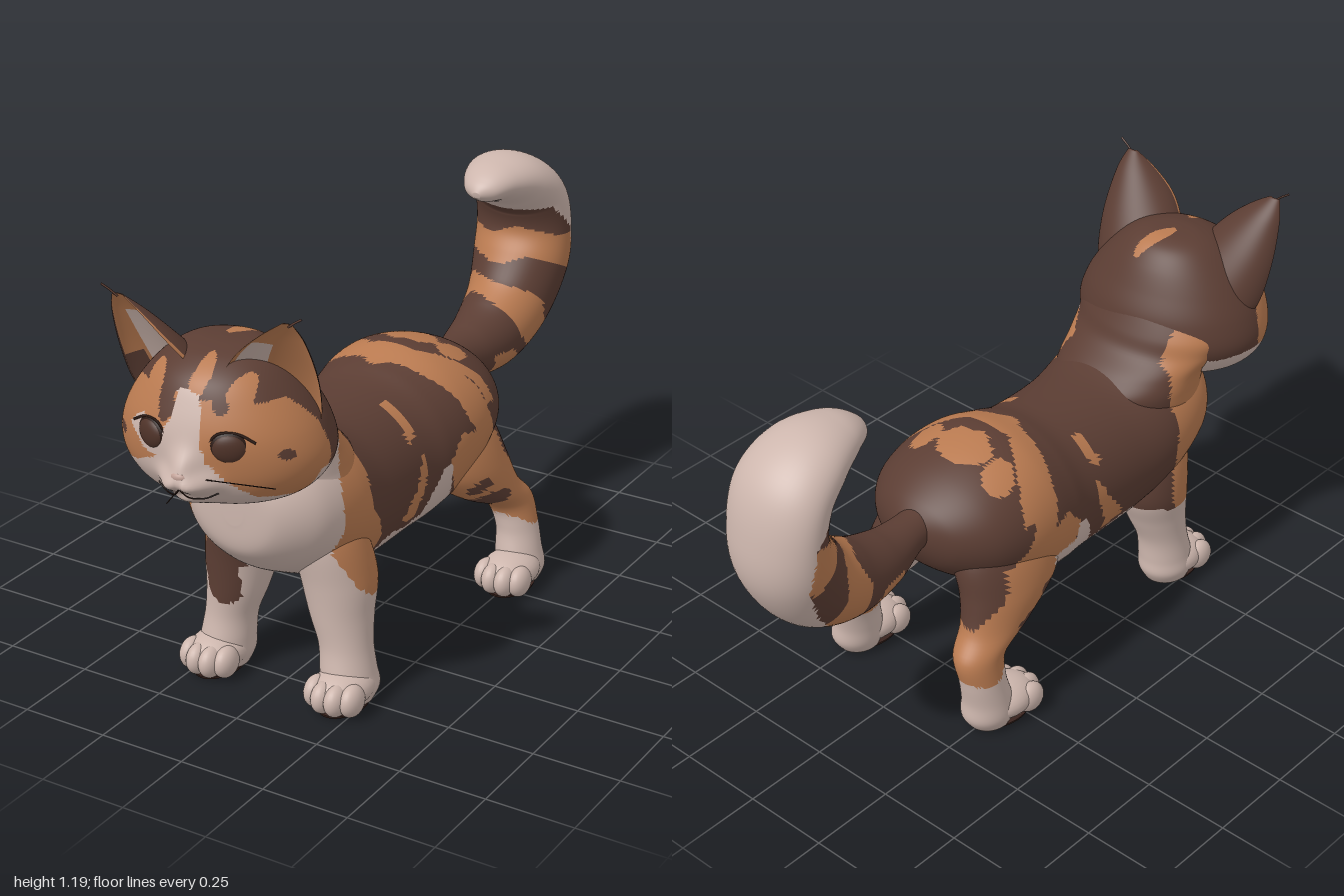
import * as THREE from 'three';

const mat = (name, color) => Object.assign(new THREE.MeshStandardMaterial({ color }), { name });
const V = (x, y, z) => new THREE.Vector3(x, y, z);

// Smooth interpolation through rows of numbers, t in 0..1
function spline(keys, t) {
  const f = Math.min(Math.max(t, 0), 1) * (keys.length - 1);
  const i = Math.min(Math.floor(f), keys.length - 2), u = f - i;
  const k = n => keys[Math.min(Math.max(n, 0), keys.length - 1)];
  return keys[i].map((b, c) => {
    const a = k(i - 1)[c], d = k(i + 1)[c], e = k(i + 2)[c];
    return 0.5 * (2 * b + (d - a) * u + (2 * a - 5 * b + 4 * d - e) * u * u + (3 * b - a - 3 * d + e) * u ** 3);
  });
}

// Skin a list of closed rings, cap both ends, and sort the faces into colours with paint(point, t, u)
function loft(name, rings, mats, paint) {
  const n = rings[0].length, m = rings.length, pts = rings.flat(), tris = [];
  for (let i = 0; i < m - 1; i++) for (let j = 0; j < n; j++) {
    const a = i * n + j, b = i * n + (j + 1) % n, t = i / (m - 1), u = j / n;
    tris.push([a, b, a + n, t, u], [b, b + n, a + n, t, u]);
  }
  [0, m - 1].forEach(i => {
    const c = rings[i].reduce((s, p) => s.add(p), V(0, 0, 0)).divideScalar(n);
    pts.push(c);
    for (let j = 0; j < n; j++) {
      const a = i * n + j, b = i * n + (j + 1) % n;
      tris.push(i ? [a, b, pts.length - 1, 1, j / n] : [b, a, pts.length - 1, 0, j / n]);
    }
  });
  // Turn all faces outwards
  const volume = tris.reduce((s, [a, b, c]) => s + pts[a].dot(V().crossVectors(pts[b], pts[c])), 0);
  const byColour = mats.map(() => []);
  for (const [a, b, c, t, u] of tris) {
    const mid = V(0, 0, 0).add(pts[a]).add(pts[b]).add(pts[c]).divideScalar(3);
    byColour[paint(mid, t, u)].push(...(volume < 0 ? [a, c, b] : [a, b, c]));
  }
  const g = new THREE.BufferGeometry().setFromPoints(pts);
  g.setIndex(byColour.flat());
  let start = 0;
  byColour.forEach((list, i) => { if (list.length) g.addGroup(start, list.length, i); start += list.length; });
  g.computeVertexNormals();
  const mesh = new THREE.Mesh(g, mats);
  mesh.name = name;
  return mesh;
}

// Rings from rows [x, y, z, halfWidth, halfDepth]; tilt sets the section plane, or it follows the path
function sections(keys, count, sides, tilt) {
  return Array.from({ length: count + 1 }, (_, i) => {
    const t = i / count, [x, y, z, a, b] = spline(keys, t);
    const p = spline(keys, t - 0.01), q = spline(keys, t + 0.01);
    const phi = tilt ?? Math.atan2(q[1] - p[1], p[2] - q[2]);
    return Array.from({ length: sides }, (_, j) => {
      const w = j / sides * Math.PI * 2, s = Math.sin(w) * b;
      return V(x + Math.cos(w) * a, y + s * Math.cos(phi), z + s * Math.sin(phi));
    });
  });
}
const FLAT = Math.PI / 2;

// Patch outlines are flat lists of pairs
function inside(poly, x, y) {
  let hit = false;
  for (let i = 0, j = poly.length - 2; i < poly.length; j = i, i += 2) {
    if ((poly[i + 1] > y) !== (poly[j + 1] > y) &&
      x < (poly[j] - poly[i]) * (y - poly[i + 1]) / (poly[j + 1] - poly[i + 1]) + poly[i]) hit = !hit;
  }
  return hit;
}
const spot = (x, y, cx, cy, rx, ry) => ((x - cx) / rx) ** 2 + ((y - cy) / ry) ** 2 < 1;

const CREAM = 0, ORANGE = 1, DARK = 2;

// Side patches as (z, y)
const chest = [0.8, 0.8, 0.5, 0.78, 0.53, 0.6, 0.55, 0.45, 0.52, 0.34, 0.45, 0.3, 0.34, 0.32, 0.3, 0.38, 0.1, 0.36, 0.04, 0.5, 0.01, 0.5, -0.03, 0.38, -0.12, 0.3, -0.25, 0.24, -0.34, 0.18, -0.5, 0.16, -0.5, -0.1, 0.8, -0.1];
const shoulder = [0.5, 0.78, 0.42, 0.75, 0.39, 0.62, 0.41, 0.52, 0.33, 0.42, 0.34, 0.3, 0.56, 0.3, 0.56, 0.6];
const flank = [0.11, 0.56, 0.14, 0.53, 0.22, 0.4, 0.15, 0.38, 0.12, 0.46];
const haunch = [0.02, 0.5, -0.05, 0.56, -0.11, 0.56, -0.07, 0.65, -0.01, 0.77, -0.1, 0.77, -0.17, 0.65, -0.21, 0.52, -0.28, 0.48, -0.3, 0.4, -0.38, 0.33, -0.5, 0.29, -0.5, 0.16, -0.34, 0.18, -0.2, 0.26, -0.08, 0.33];

function paintBody(p) {
  const x = p.x + 0.004 * Math.sin(p.y * 40), y = p.y + 0.005 * Math.sin(p.z * 45), z = p.z + 0.005 * Math.sin(p.y * 40);
  if (y < 0.18 || (y < 0.33 && Math.abs(x) < 0.12) || (y < 0.4 && Math.abs(x) < 0.1 && z > -0.35)) return CREAM;
  // nape
  if (y > 0.68 && z < 0.5 && z > 0.2 && Math.abs(x + 0.04) < 0.15) return DARK;
  // right foreleg and thigh front
  if (x < -0.03 && z > 0.4) {
    if (z > 0.47 && spot(x, y, -0.16, 0.32, 0.075, 0.11)) return DARK;
    if (x < -0.185 && y > 0.3 && z > 0.44) return ORANGE;
    if (z > 0.5) return CREAM;
  }
  if (x < -0.03 && z > -0.1 && z < 0.05 && y < 0.44) return CREAM;
  // saddle
  if (y > 0.6 && z < 0.2) {
    const across = Math.abs(x + 0.04), ring = z + 0.02 + across * 0.75;
    if (spot(x, z, -0.1, -0.13, 0.025, 0.035) || spot(x, z, -0.01, -0.13, 0.03, 0.02)) return DARK;
    if (spot(x, z, -0.04, -0.2, 0.085, 0.065) || (z < 0 && Math.abs(ring) < 0.026) || spot(across, z, 0.13, -0.21, 0.04, 0.05)) return ORANGE;
    if (across > 0.11 && Math.abs(z - 0.13) < 0.018) return ORANGE;
  }
  if (inside(chest, z, y)) return CREAM;
  if (spot(z, y, -0.2, 0.31, 0.07, 0.025) || spot(z, y, -0.13, 0.37, 0.04, 0.02)) return DARK;
  if (x > -0.03 && inside(shoulder, z, y)) return ORANGE;
  return inside(flank, z, y) || inside(haunch, z, y) ? ORANGE : DARK;
}

const tailTip = [-0.72, 0.4, -0.8, 0.53, -0.87, 0.62, -0.93, 0.75, -0.91, 0.88, -0.83, 0.96, -0.72, 0.95, -0.5, 0.9, -0.5, 1.2, -1.1, 1.2, -1.1, 0.4];
function paintTail(p, t) {
  if (inside(tailTip, p.z, p.y)) return CREAM;
  const k = t + 0.02 * Math.sin(p.x * 25 + p.y * 20);
  return (k > 0.18 && k < 0.25 && p.y < 0.57) || (k > 0.29 && k < 0.365) || (k > 0.43 && k < 0.54) ? ORANGE : DARK;
}

// Face patches as (x, y) from the front and (z, y) from the side
const blaze = [-0.035, 0.97, 0.025, 0.97, 0.04, 0.88, 0.05, 0.81, 0.1, 0.76, 0.16, 0.71, 0.22, 0.69, 0.22, 0.6, -0.3, 0.6, -0.32, 0.74, -0.16, 0.75, -0.09, 0.8, -0.14, 0.8, -0.185, 0.85, -0.14, 0.89, -0.07, 0.86, -0.05, 0.9];
const cheek = [0.35, 0.85, 0.24, 0.96, 0.12, 0.95, 0.06, 0.88, 0.04, 0.78, 0.08, 0.7, 0.16, 0.66, 0.35, 0.66];
function paintHead(p) {
  const x = p.x + 0.004 * Math.sin(p.y * 60), y = p.y + 0.005 * Math.sin(p.x * 50), z = p.z;
  if (z > 0.12 && inside(blaze, x, y)) return CREAM;
  if (z > -0.12 && (y < 0.67 || (y < 0.76 && z < 0.08))) return CREAM;
  if (spot(x + z * 0.4, z, 0.01, -0.03, 0.025, 0.06) && y > 1) return ORANGE;
  if (z > 0.05 && (spot(x, y, 0.01, 1.0, 0.025, 0.045) || spot(Math.abs(x), y, 0.12, 0.97, 0.03, 0.04))) return ORANGE;
  if (spot(Math.abs(x), y, 0.23, 0.82, 0.016, 0.014) || spot(x, y, -0.07, 0.94, 0.025, 0.05) || spot(x, y, 0.08, 0.95, 0.02, 0.03)) return DARK;
  return inside(cheek, z, y) ? ORANGE : DARK;
}

// Forward swelling of the muzzle: whisker pads, bridge and chin
const bell = (x, y, rx, ry) => Math.exp(-((x / rx) ** 2) - (y / ry) ** 2);
const muzzle = (x, y) => 0.05 * bell(Math.abs(x) - 0.03, y - 0.743, 0.045, 0.03) + 0.038 * bell(x, y - 0.785, 0.04, 0.045) + 0.035 * bell(x, y - 0.693, 0.05, 0.022);
const faceZ = (x, y) => 0.045 + 0.217 * Math.sqrt(1 - (x / 0.275) ** 2) + muzzle(x, y);

export function createModel() {
  const cat = new THREE.Group();
  cat.name = 'cat';
  const coat = [mat('cream fur', 0xcdb6ad), mat('orange fur', 0xb97a50), mat('dark brown fur', 0x5b3d33)];
  const rim = mat('eye rim', 0x2b1913), iris = mat('eye brown', 0x4e3228), pad = mat('paw pad', 0x3a241e), pink = mat('nose pink', 0xbf9f95);

  const ball = (parent, name, m, pos, scale, yaw = 0) => {
    const b = new THREE.Mesh(new THREE.SphereGeometry(1, 24, 16), m);
    b.name = name; b.position.set(...pos); b.scale.set(...scale); b.rotation.y = yaw;
    parent.add(b);
  };
  const strand = (parent, name, m, r, ...pts) => {
    const g = new THREE.TubeGeometry(new THREE.CatmullRomCurve3(pts.map(p => V(...p))), 14, r, 5);
    const s = new THREE.Mesh(g, m);
    s.name = name; parent.add(s);
  };

  // Torso: rows of z, top, bottom, half width
  const torso = [[0.702, 0.62, 0.54, 0.03], [0.69, 0.68, 0.46, 0.12], [0.63, 0.74, 0.395, 0.195], [0.56, 0.76, 0.35, 0.23], [0.45, 0.75, 0.3, 0.245], [0.3, 0.712, 0.262, 0.235], [0.1, 0.712, 0.255, 0.233], [0, 0.738, 0.26, 0.25], [-0.1, 0.765, 0.28, 0.262], [-0.2, 0.755, 0.33, 0.258], [-0.3, 0.72, 0.39, 0.225], [-0.38, 0.67, 0.46, 0.15], [-0.425, 0.62, 0.53, 0.05]]
    .map(([z, top, low, a]) => [-0.028, (top + low) / 2, z, a, (top - low) / 2]);
  cat.add(loft('torso', sections(torso, 125, 110, 0), coat, paintBody));

  // Neck
  const neck = [[-0.03, 0.5, 0.5, 0.1, 0.04], [-0.03, 0.56, 0.5, 0.19, 0.15], [-0.03, 0.62, 0.5, 0.213, 0.19], [-0.035, 0.67, 0.5, 0.213, 0.2], [-0.04, 0.72, 0.523, 0.215, 0.172], [-0.045, 0.77, 0.575, 0.232, 0.163], [-0.05, 0.82, 0.61, 0.24, 0.172], [-0.05, 0.88, 0.63, 0.2, 0.16]];
  cat.add(loft('neck', sections(neck, 50, 80, FLAT), coat, paintBody));

  // Tail
  const tail = [[-0.04, 0.595, -0.36, 0.055, 0.06], [-0.045, 0.59, -0.44, 0.06, 0.055], [-0.05, 0.575, -0.55, 0.085, 0.082], [-0.05, 0.59, -0.68, 0.11, 0.11], [-0.05, 0.655, -0.8, 0.13, 0.122], [-0.053, 0.77, -0.88, 0.15, 0.12], [-0.055, 0.88, -0.9, 0.152, 0.1], [-0.055, 0.98, -0.87, 0.148, 0.095], [-0.055, 1.04, -0.79, 0.13, 0.084], [-0.055, 1.058, -0.7, 0.095, 0.06], [-0.055, 1.047, -0.63, 0.055, 0.035], [-0.055, 1.04, -0.6, 0.012, 0.01]];
  cat.add(loft('tail', sections(tail, 120, 56), coat, paintTail));

  // Legs and paws
  const frontLeg = [[0.1, 0.58, 0.48, 0.06, 0.08], [0.13, 0.46, 0.47, 0.095, 0.11], [0.152, 0.34, 0.457, 0.1, 0.112], [0.165, 0.24, 0.472, 0.086, 0.092], [0.182, 0.16, 0.487, 0.073, 0.077], [0.192, 0.09, 0.497, 0.075, 0.082], [0.198, 0.045, 0.5, 0.077, 0.086], [0.198, 0.006, 0.505, 0.062, 0.07]];
  const hindLeg = [[0.09, 0.62, -0.17, 0.08, 0.12], [0.13, 0.5, -0.18, 0.11, 0.175], [0.172, 0.4, -0.2, 0.1, 0.168], [0.198, 0.31, -0.27, 0.08, 0.12], [0.218, 0.245, -0.355, 0.065, 0.083], [0.238, 0.17, -0.362, 0.06, 0.07], [0.247, 0.1, -0.35, 0.066, 0.073], [0.252, 0.045, -0.345, 0.07, 0.08], [0.252, 0.006, -0.34, 0.056, 0.062]];
  for (const s of [-1, 1]) {
    const side = s > 0 ? 'left' : 'right';
    [['Front', frontLeg, 0.2, 0.53, 0.05], ['Hind', hindLeg, 0.255, -0.29, 0.075]].forEach(([end, half, px, pz, lean]) => {
      const keys = half.map(([x, y, ...rest]) => [s * x - lean * Math.max(y - 0.05, 0), y, ...rest]);
      cat.add(loft(side + end + 'Leg', sections(keys, 50, 48, FLAT), coat, paintBody));
      const paw = new THREE.Group();
      paw.name = side + end + 'Paw';
      paw.position.set(s * px, 0, pz);
      ball(paw, 'instep', coat[0], [0, 0.056, 0.005], [0.08, 0.053, 0.1]);
      [[-0.055, 0.055], [-0.02, 0.075], [0.02, 0.075], [0.055, 0.055]].forEach(([x, z]) => ball(paw, 'toe', coat[0], [x, 0.048, z], [0.031, 0.045, 0.046]));
      const sole = new THREE.Mesh(new THREE.CylinderGeometry(1, 0.95, 0.009, 32), pad);
      sole.name = 'sole'; sole.scale.set(0.063, 1, 0.094); sole.position.set(0, 0.0045, 0.005);
      paw.add(sole);
      cat.add(paw);
    });
  }

  // Head, turned a little to its left
  const head = new THREE.Group();
  head.name = 'head';
  head.position.set(-0.054, 0, 0.63);
  head.rotation.y = 0.1;
  cat.add(head);
  const skull = [[0, 0.63, 0.06, 0.03, 0.03], [0, 0.645, 0.06, 0.12, 0.1], [0, 0.68, 0.055, 0.215, 0.17], [0, 0.73, 0.05, 0.268, 0.207], [0, 0.79, 0.045, 0.287, 0.225], [0, 0.86, 0.05, 0.27, 0.22], [0, 0.93, 0.055, 0.23, 0.192], [0, 0.99, 0.055, 0.18, 0.158], [0, 1.03, 0.045, 0.13, 0.112], [0, 1.05, 0.035, 0.08, 0.06], [0, 1.055, 0.035, 0.02, 0.02]];
  const skullRings = sections(skull, 115, 150, FLAT);
  skullRings.flat().forEach(p => { if (p.z > 0.1) p.z += muzzle(p.x, p.y); });
  head.add(loft('skull', skullRings, coat, paintHead));

  // Nose and mouth
  ball(head, 'nose', pink, [0, 0.772, faceZ(0, 0.772) - 0.003], [0.022, 0.013, 0.012]);
  const line = (name, ...pts) => strand(head, name, rim, 0.002, ...pts.map(([x, y]) => [x, y, faceZ(x, y)]));
  line('philtrum', [0, 0.762], [0, 0.75], [0, 0.738]);

  // Ears, opening forwards and outwards: rows of outer edge, inner edge and depth
  const ear = [[0.235, 0.83, 0.03, 0.02, 0.96, 0.12, 0.1], [0.27, 0.89, 0.06, 0.06, 1.02, 0.16, 0.115], [0.282, 1, 0.1, 0.105, 1.075, 0.18, 0.09], [0.272, 1.11, 0.145, 0.165, 1.128, 0.18, 0.048], [0.252, 1.168, 0.172, 0.222, 1.168, 0.172, 0.008]];
  for (const s of [-1, 1]) {
    const rings = Array.from({ length: 51 }, (_, i) => {
      const [ox, oy, oz, ix, iy, iz, d] = spline(ear, i / 50);
      return Array.from({ length: 60 }, (_, j) => {
        const w = j / 60 * Math.PI * 2, depth = Math.abs(Math.sin(w)) * d * (j < 30 ? 1 : 0.6);
        return V(s * ox, oy, oz).lerp(V(s * ix, iy, iz), (1 - Math.cos(w)) / 2).add(V(-0.3 * s * depth, 0, -0.95 * depth));
      });
    });
    head.add(loft('ear', rings, coat, (p, t, u) => {
      if (u < 0.48 || u > 0.98 || (s < 0 && t < 0.42 && u > 0.86)) return DARK;
      return t < (s < 0 ? 0.74 : 0.62) && u > 0.55 && u < (s < 0 ? 0.84 : 0.7) ? CREAM : ORANGE;
    }));
    strand(head, 'earTuft', coat[2], 0.003, [s * 0.238, 1.16, 0.168], [s * 0.258, 1.176, 0.172], [s * 0.28, 1.19, 0.176]);

    // Eyes and mouth corners
    const ez = faceZ(0.11, 0.845);
    ball(head, 'eyeRim', rim, [s * 0.11, 0.845, ez - 0.002], [0.051, 0.044, 0.015], s * 0.4);
    ball(head, 'eye', iris, [s * 0.11, 0.845, ez], [0.045, 0.039, 0.019], s * 0.4);
    strand(head, 'upperLid', rim, 0.0035, [s * 0.058, 0.853, 0.262], [s * 0.085, 0.884, 0.255], [s * 0.13, 0.884, 0.236], [s * 0.172, 0.862, 0.222]);
    line('mouthLine', [0, 0.738], [s * 0.02, 0.716], [s * 0.055, 0.712], [s * 0.085, 0.725]);
  }

  // Whiskers
  strand(head, 'whisker', rim, 0.0015, [0.05, 0.765, 0.28], [0.14, 0.772, 0.28], [0.24, 0.765, 0.25]);
  strand(head, 'whisker', rim, 0.0015, [0, 0.742, 0.29], [0, 0.735, 0.33], [0, 0.727, 0.37]);
  return cat;
}
